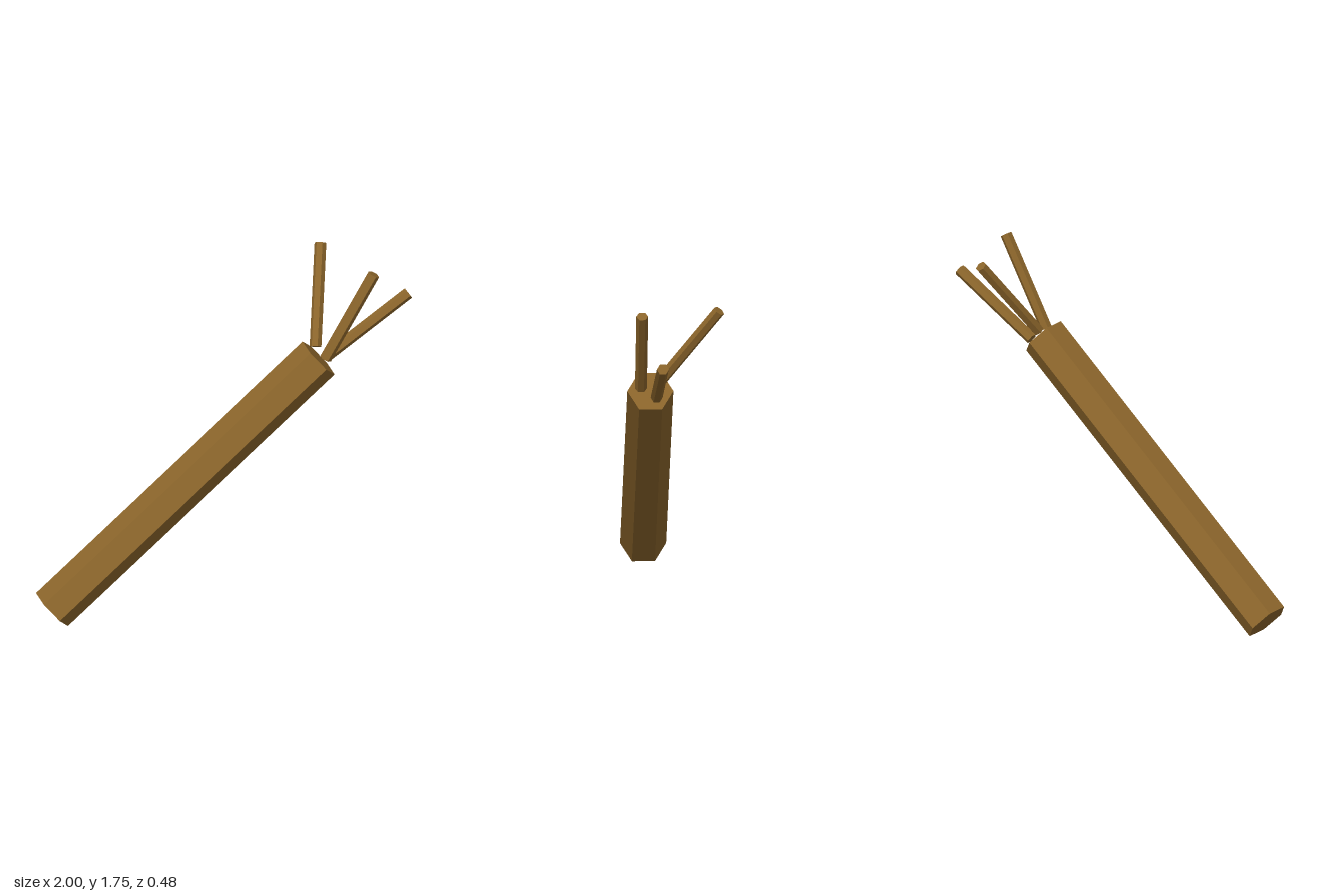
import * as THREE from 'three';

const wood = new THREE.MeshStandardMaterial({ color: 0x8b652b, flatShading: true });

// Six-sided rod running from one point to another
function rod(name, radius, from, to) {
  const a = new THREE.Vector3(...from);
  const b = new THREE.Vector3(...to);
  const axis = b.clone().sub(a);
  const mesh = new THREE.Mesh(new THREE.CylinderGeometry(radius, radius, axis.length(), 6), wood);
  mesh.name = name;
  mesh.position.copy(a).add(b).multiplyScalar(0.5);
  mesh.quaternion.setFromUnitVectors(new THREE.Vector3(0, 1, 0), axis.normalize());
  return mesh;
}

export function createModel() {
  const group = new THREE.Group();
  group.name = 'branch';

  // Thick leaning stem
  group.add(rod('stem', 0.116, [-0.936, 0.078, 0.123], [0.488, 1.27, 0.123]));

  // Three thin twigs fanning out just past its upper end
  group.add(rod('backTwig', 0.03, [0.487, 1.313, 0.08], [0.62, 1.723, -0.219]));
  group.add(rod('frontTwig', 0.03, [0.508, 1.29, 0.171], [0.765, 1.737, 0.171]));
  group.add(rod('outerTwig', 0.03, [0.54, 1.251, 0.093], [0.984, 1.521, 0.073]));

  return group;
}
